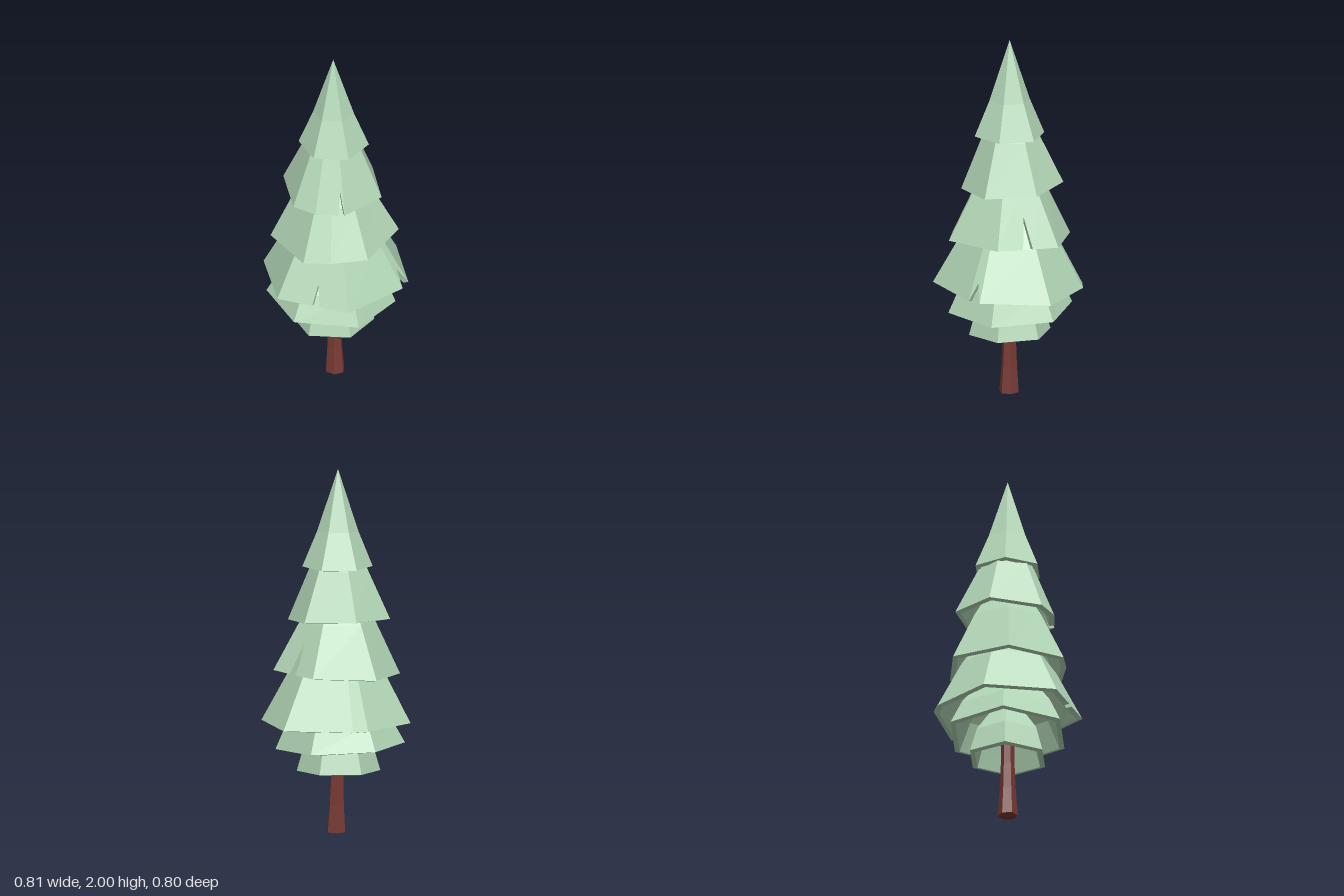
import * as THREE from 'three';

const AXIS = -0.015; // x of the tree's centre line

// Six rim corners around a centre on the x axis
const hexagon = (cx, rx, rz) => Array.from({ length: 6 }, (_, i) => {
  const a = i * Math.PI / 3;
  return [cx + rx * Math.cos(a), rz * Math.sin(a)];
});

// Rim outline as [x, z, pull]; each notch is cut into one edge of the corner loop
function notchedRim(corners, notches) {
  return corners.flatMap(([x, z], i) => {
    const [nx, nz] = corners[(i + 1) % corners.length];
    const along = (t, pull) => [x + (nx - x) * t, z + (nz - z) * t, pull];
    const cuts = notches.filter((n) => n.edge === i).flatMap(({ at, half, pull }) =>
      [along(at - half, 0), along(at, pull), along(at + half, 0)]);
    return [[x, z, 0], ...cuts];
  });
}

// Hollow faceted skirt: inside surface, lip, then outside surface.
// The rim plane may tilt; notch points are pulled up the slope to the waist ring.
function skirtGeometry({ apex, waist, base, scale, corners, tiltX = 0, tiltZ = 0, notches = [] }) {
  const shrink = (p) => {
    const dx = p.x - AXIS, k = 1 - 0.03 / Math.hypot(dx, p.z);
    return new THREE.Vector3(AXIS + dx * k, p.y - 0.006, p.z * k);
  };
  const columns = notchedRim(corners, notches).map(([x, z, pull]) => {
    const ring = new THREE.Vector3(AXIS + (x - AXIS) * scale, waist, z * scale);
    const rim = new THREE.Vector3(x, base + tiltX * x + tiltZ * z, z).lerp(ring, pull);
    return [
      new THREE.Vector3(AXIS, apex - 0.06, 0), shrink(ring), shrink(rim),
      rim, ring, new THREE.Vector3(AXIS, apex, 0),
    ];
  });
  const points = [];
  columns.forEach((a, i) => {
    const b = columns[(i + 1) % columns.length];
    const last = a.length - 2;
    for (let k = 0; k <= last; k++) {
      if (k > 0) points.push(b[k], a[k], a[k + 1]);
      if (k === 0) points.push(a[0], a[1], b[1]);
      else if (k < last) points.push(b[k], a[k + 1], b[k + 1]);
    }
  });
  const geometry = new THREE.BufferGeometry().setFromPoints(points);
  geometry.computeVertexNormals();
  return geometry;
}

// Six-sided trunk with a flared foot, narrowing upwards
function trunkGeometry() {
  const height = 0.61;
  const geometry = new THREE.CylinderGeometry(0.037, 0.055, height, 6, 4);
  geometry.translate(0, height / 2, 0);
  const p = geometry.attributes.position;
  for (let i = 0; i < p.count; i++) {
    const t = p.getY(i) / height;
    const flare = 1 - 0.18 * Math.sin(Math.PI * t);
    p.setXYZ(i, p.getX(i) * flare - 0.005 - 0.01 * t, p.getY(i), p.getZ(i) * flare);
  }
  geometry.computeVertexNormals();
  return geometry;
}

export function createModel() {
  const tree = new THREE.Group();
  tree.name = 'pineTree';
  const leaf = new THREE.MeshStandardMaterial({ color: 0xb4d8b8, flatShading: true });
  const bark = new THREE.MeshStandardMaterial({ color: 0x7a3b35, flatShading: true });

  const addPart = (name, geometry, material) => {
    const mesh = new THREE.Mesh(geometry, material);
    mesh.name = name;
    tree.add(mesh);
  };
  const addTier = (name, options) => addPart(name, skirtGeometry(options), leaf);

  addPart('trunk', trunkGeometry(), bark);

  // Regular tiers at the foot and the tip
  addTier('bottomTier', {
    apex: 0.75, waist: 0.48, base: 0.338, scale: 0.82, tiltZ: -0.02,
    corners: hexagon(-0.018, 0.228, 0.228),
  });
  addTier('fifthTier', {
    apex: 0.98, waist: 0.62, base: 0.473, scale: 0.8, tiltX: -0.045,
    corners: hexagon(-0.027, 0.353, 0.345),
  });
  addTier('topTier', {
    apex: 2, waist: 1.66, base: 1.463, scale: 0.58,
    corners: hexagon(-0.012, 0.192, 0.195),
  });

  // Uneven tiers with split edges
  addTier('fourthTier', {
    apex: 1.22, waist: 0.88, base: 0.613, scale: 0.65, tiltZ: 0.02,
    corners: [[-0.16, -0.37], [-0.075, -0.4], [0.3, -0.33], [0.4, 0.045],
      [0.375, 0.115], [0.105, 0.4], [-0.295, 0.285], [-0.405, -0.105]],
    notches: [{ edge: 3, at: 0.5, half: 0.49, pull: 0.36 },
      { edge: 5, at: 0.46, half: 0.05, pull: 0.42 }],
  });
  addTier('thirdTier', {
    apex: 1.5, waist: 1.16, base: 0.883, scale: 0.6, tiltX: 0.05,
    corners: [[-0.21, -0.285], [0.14, -0.325], [0.34, -0.04], [0.2, 0.28],
      [0, 0.32], [-0.15, 0.315], [-0.355, 0.03]],
    notches: [{ edge: 1, at: 0.5, half: 0.08, pull: 0.62 }],
  });
  addTier('secondTier', {
    apex: 1.76, waist: 1.45, base: 1.172, scale: 0.57, tiltX: -0.02, tiltZ: -0.06,
    corners: [[-0.1, -0.28], [0.18, -0.215], [0.255, 0.06], [0.07, 0.25],
      [-0.09, 0.26], [-0.215, 0.2], [-0.295, -0.08]],
    notches: [{ edge: 3, at: 0.11, half: 0.1, pull: 0.42 }],
  });
  return tree;
}
